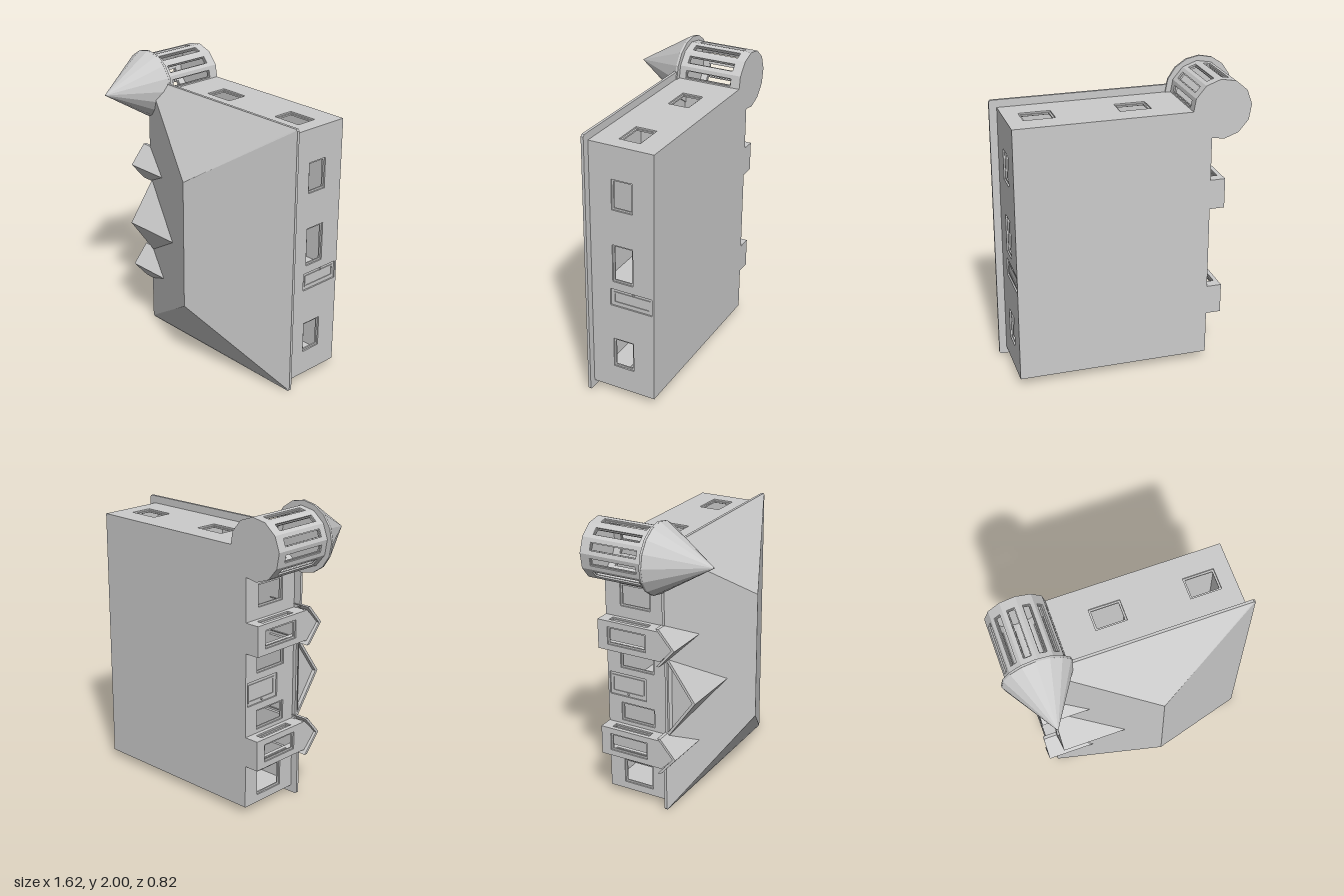
import * as THREE from 'three';

const FLOOR = -0.41, EAVE = 0.04, T = 0.025;
const mat = new THREE.MeshStandardMaterial({ color: 0xcccccc, flatShading: true, side: THREE.DoubleSide });

const poly = (pts) => new THREE.Shape(pts.map(([x, y]) => new THREE.Vector2(x, y)));
const rect = (x0, y0, x1, y1) => [[x0, y0], [x1, y0], [x1, y1], [x0, y1]];

function add(parent, name, geo, x = 0, y = 0, z = 0) {
  const m = new THREE.Mesh(geo, mat);
  m.name = name;
  m.position.set(x, y, z);
  parent.add(m);
  return m;
}

function extrude(pts, depth, holes = []) {
  const s = poly(pts);
  holes.forEach((h) => s.holes.push(poly(h)));
  return new THREE.ExtrudeGeometry(s, { depth, bevelEnabled: false });
}

// Group whose local x runs along a wall, local y is +z, local z points outward
function facing(parent, name, x, y, angle) {
  const g = new THREE.Group();
  g.name = name;
  const n = new THREE.Vector3(Math.cos(angle), Math.sin(angle), 0);
  const up = new THREE.Vector3(0, 0, 1);
  g.quaternion.setFromRotationMatrix(
    new THREE.Matrix4().makeBasis(new THREE.Vector3().crossVectors(up, n), up, n));
  g.position.set(x, y, 0);
  parent.add(g);
  return g;
}

// Flat wall with openings: { u: centre, w: width, lo, hi, door }
function wall(parent, name, x, y, angle, width, openings = []) {
  const g = facing(parent, name, x, y, angle);
  const box = (o, inset) => rect(o.u - o.w / 2 + inset, o.lo + inset, o.u + o.w / 2 - inset, o.hi - inset);
  add(g, name + 'Panel', extrude(rect(-width / 2, FLOOR, width / 2, EAVE), T, openings.map((o) => box(o, 0))), 0, 0, -T);
  for (const o of openings) {
    if (o.door) {
      add(g, 'door', extrude(box(o, 0), 0.01), 0, 0, -0.02);
      add(g, 'doorPanel', extrude(box(o, 0.02), 0.005, [box(o, 0.03)]), 0, 0, -0.01);
      add(g, 'doorKnob', new THREE.SphereGeometry(0.008, 8, 6), o.u + o.w * 0.38, -0.26, -0.005);
    } else {
      add(g, 'windowFrame', extrude(box(o, 0), 0.01, [box(o, Math.min(0.012, o.w * 0.12))]), 0, 0, -0.02);
    }
  }
  return g;
}

// Gabled roof running inward from x = front to x = back, with its end wall
function gable(parent, name, y, half, ridge, front, back, wallX) {
  const base = 0.05, t = 0.022;
  const g = facing(parent, name, 0, y, Math.PI);
  add(g, name + 'Roof', extrude([[-half, base - t], [-half, base], [0, ridge], [half, base], [half, base - t], [0, ridge - t]],
    back - front), 0, 0, -back);
  const h = half - 0.025;
  add(g, name + 'EndWall', extrude([[-h, 0.03], [h, 0.03], [h, base - t + 0.015], [0, ridge - t + 0.003], [-h, base - t + 0.015]], T),
    0, 0, -wallX - T);
}

export function createModel() {
  const house = new THREE.Group();
  house.name = 'house';
  const win = (u, w = 0.205, lo = -0.262, hi = -0.118) => ({ u, w, lo, hi });
  const R = 0, U = Math.PI / 2, L = Math.PI, D = -Math.PI / 2;
  const x0 = -0.52, x1 = 0.76, y0 = 0.05, y1 = 1.77;
  const bays = [0.44, 1.2];

  // Floor plate
  add(house, 'floor', extrude([[x0, y0], [x1, y0], [x1, y1], [x0, y1], [x0, 1.3], [-0.62, 1.3], [-0.62, 1.1], [x0, 1.1],
    [x0, 0.54], [-0.62, 0.54], [-0.62, 0.34], [x0, 0.34]], 0.015), 0, 0, FLOOR);

  // Main walls
  wall(house, 'backWall', x1, 0.91, R, 1.72, [
    win(0.537), win(0.065, 0.26), win(-0.59, 0.21),
    { u: -0.18, w: 0.12, lo: -0.4, hi: -0.1, door: true }]);
  wall(house, 'upperSideWall', 0.175, y1, U, 1.17, [win(0.2375), win(-0.38)]);
  wall(house, 'lowerSideWall', 0.12, y0, D, 1.28, [win(-0.1825), win(0.435)]);

  // Entrance side wall, in stretches between the bays
  wall(house, 'lowerFrontWall', x0, 0.195, L, 0.29, [win(0.01, 0.17, -0.3, -0.08)]);
  wall(house, 'entranceWall', x0, 0.82, L, 0.56, [
    win(0.19, 0.13, -0.31, -0.06), win(-0.19, 0.13, -0.31, -0.06),
    { u: 0, w: 0.16, lo: -0.4, hi: -0.12, door: true }]);
  wall(house, 'upperFrontWall', x0, 1.45, L, 0.3, [win(0, 0.15, -0.3, -0.08)]);

  // Projecting bays with small gables
  for (const y of bays) {
    wall(house, 'bayFront', -0.62, y, L, 0.2, [win(0, 0.12, -0.34, -0.06)]);
    for (const s of [-1, 1]) {
      wall(house, 'baySide', -0.57, y + s * 0.1, s * U, 0.1, [win(0, 0.045, -0.34, -0.06)]);
    }
    gable(house, 'bayGable', y, 0.127, 0.16, -0.64, -0.32, -0.62);
  }
  gable(house, 'entranceGable', 0.822, 0.283, 0.252, -0.545, -0.1, x0);

  // Inner partitions
  add(house, 'crossPartition', new THREE.BoxGeometry(1.2, 0.02, 0.43), 0.12, 0.72, -0.185);
  add(house, 'lengthPartition', new THREE.BoxGeometry(0.02, 1.66, 0.43), 0.12, 0.91, -0.185);

  // Eaves and hipped roof
  const ex0 = -0.57, ex1 = 0.81, ey0 = 0.003, ey1 = 1.82, c = 0.012;
  const notch = [[ex0, 1.31], [-0.545, 1.31], [-0.545, 0.33], [ex0, 0.33]];
  add(house, 'eaves', extrude([[ex0, ey0 + c], [ex0 + c, ey0], [ex1 - c, ey0], [ex1, ey0 + c], [ex1, ey1 - c], [ex1 - c, ey1],
    [ex0 + c, ey1], [ex0, ey1 - c], ...notch], 0.018), 0, 0, 0.034);
  const lowRidge = [0.12, 0.47], highRidge = [0.12, 1.355];
  const slopes = {
    roofFront: [[ex0, ey0 + c], [ex0 + c, ey0 + c], lowRidge, highRidge, [ex0 + c, ey1 - c], [ex0, ey1 - c], ...notch],
    roofBack: [[ex1, ey0 + c], [ex1, ey1 - c], [ex1 - c, ey1 - c], highRidge, lowRidge, [ex1 - c, ey0 + c]],
    roofLower: [[ex0 + c, ey0], [ex1 - c, ey0], [ex1 - c, ey0 + c], lowRidge, [ex0 + c, ey0 + c]],
    roofUpper: [[ex1 - c, ey1], [ex0 + c, ey1], [ex0 + c, ey1 - c], highRidge, [ex1 - c, ey1 - c]],
  };
  for (const [name, pts] of Object.entries(slopes)) {
    const geo = new THREE.ShapeGeometry(poly(pts));
    const p = geo.attributes.position;
    for (let i = 0; i < p.count; i++) {
      const x = p.getX(i), y = p.getY(i);
      const rise = Math.min((x - ex0) / 0.69, (ex1 - x) / 0.69, (y - ey0) / 0.467, (ey1 - y) / 0.465);
      p.setZ(i, 0.05 + 0.302 * rise);
    }
    geo.computeVertexNormals();
    add(house, name, geo);
  }

  // Corner turret: twelve slotted panels under a cone
  const tower = new THREE.Group();
  tower.name = 'turret';
  tower.position.set(-0.585, 1.77, 0);
  house.add(tower);
  const r = 0.197, apothem = r * Math.cos(Math.PI / 12), facet = 2 * r * Math.sin(Math.PI / 12);
  for (let i = 0; i < 12; i++) {
    const a = THREE.MathUtils.degToRad(10 + i * 30);
    wall(tower, 'turretWall', apothem * Math.cos(a), apothem * Math.sin(a), a, facet, [win(0, 0.05, -0.345, -0.02)]);
  }
  const disc = Array.from({ length: 12 }, (_, i) => {
    const a = THREE.MathUtils.degToRad(25 + i * 30);
    return [r * Math.cos(a), r * Math.sin(a)];
  });
  add(tower, 'turretFloor', extrude(disc, 0.015), 0, 0, FLOOR);
  add(tower, 'turretEave', new THREE.CylinderGeometry(0.23, 0.23, 0.015, 16).rotateX(Math.PI / 2), 0, 0, 0.0335);
  add(tower, 'turretRoof', new THREE.ConeGeometry(0.23, 0.37, 16).rotateX(Math.PI / 2), 0, 0, 0.225);

  return house;
}
